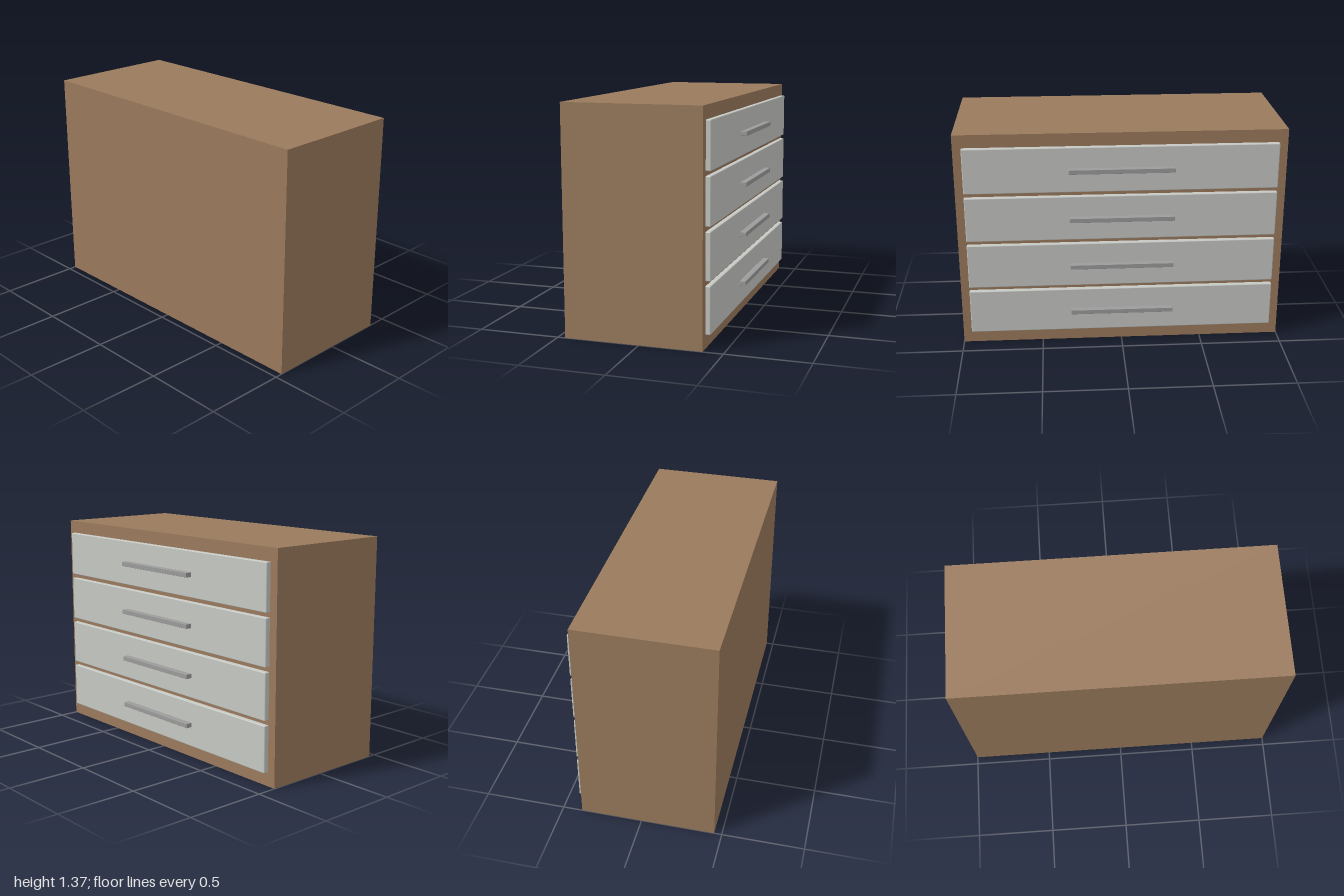
import * as THREE from 'three';
import { RoundedBoxGeometry } from 'three/addons/geometries/RoundedBoxGeometry.js';

const wood = new THREE.MeshStandardMaterial({ color: 0x9a7a5c });
const panel = new THREE.MeshStandardMaterial({ color: 0xc6c8c3 });
const metal = new THREE.MeshStandardMaterial({ color: 0x9c9c9c });

function addPart(parent, name, geometry, material, x, y, z) {
  const mesh = new THREE.Mesh(geometry, material);
  mesh.name = name;
  mesh.position.set(x, y, z);
  parent.add(mesh);
  return mesh;
}

export function createModel() {
  const group = new THREE.Group();
  group.name = 'chestOfDrawers';

  // Cabinet body
  addPart(group, 'cabinet', new THREE.BoxGeometry(2, 1.37, 0.833), wood, 0, 0.685, 0.037);

  // Four drawers on the -z side, each with a slightly eased front and a bar handle
  const frontGeometry = new RoundedBoxGeometry(1.894, 0.282, 0.034, 2, 0.006);
  const handleGeometry = new RoundedBoxGeometry(0.636, 0.028, 0.039, 1, 0.002);
  for (let i = 0; i < 4; i++) {
    const drawer = new THREE.Group();
    drawer.name = `drawer${i + 1}`;
    drawer.position.y = 0.223 + i * 0.309;
    addPart(drawer, 'drawerFront', frontGeometry, panel, 0, 0, -0.393);
    addPart(drawer, 'drawerHandle', handleGeometry, metal, 0, 0, -0.4335);
    group.add(drawer);
  }
  return group;
}
